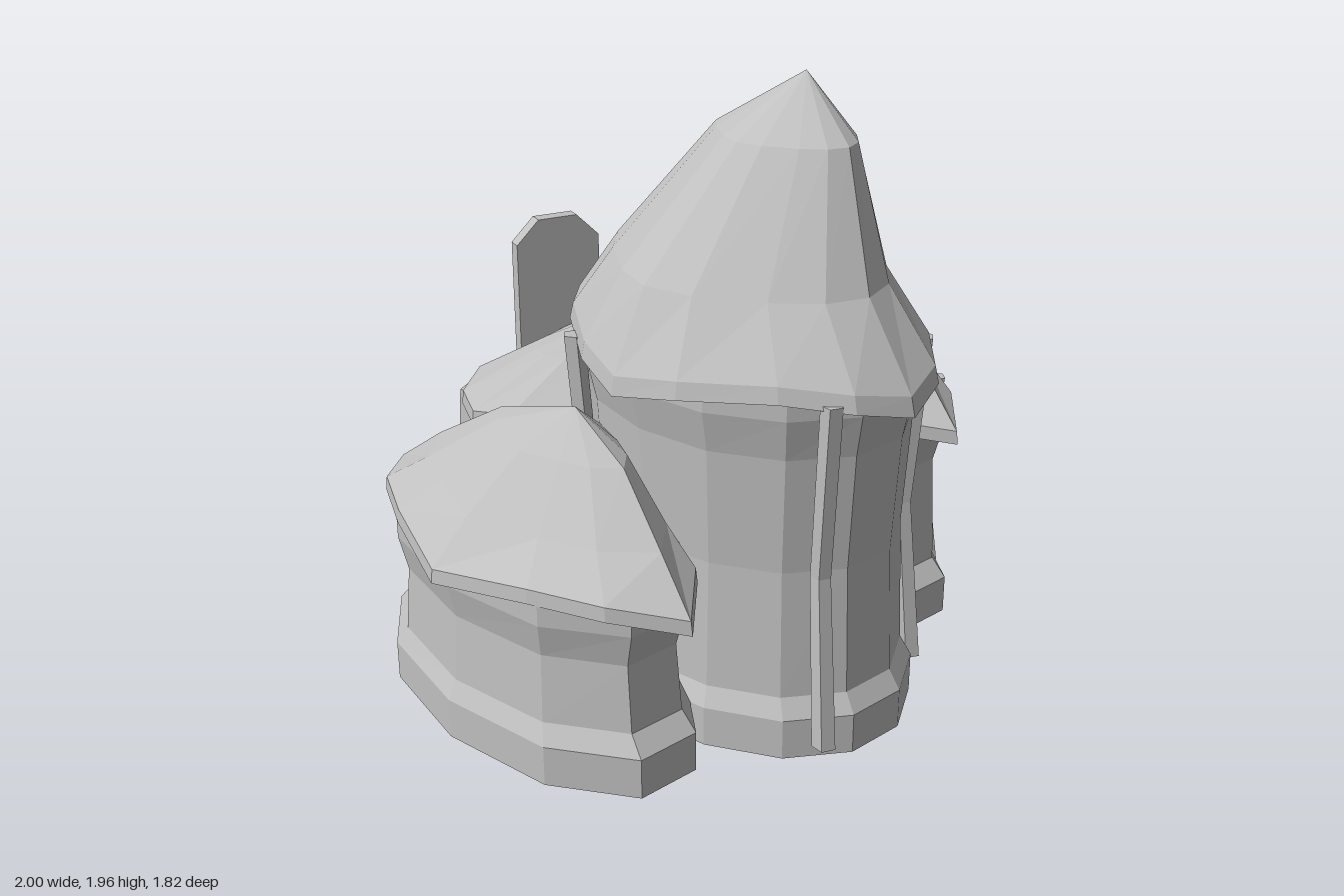
import * as THREE from 'three';

const stone = new THREE.MeshStandardMaterial({ color: 0xc0c0c0, flatShading: true, side: THREE.DoubleSide });
stone.name = 'pale grey';

function mesh(name, geometry) {
  const m = new THREE.Mesh(geometry, stone);
  m.name = name;
  return m;
}

function fromPositions(pos) {
  const g = new THREE.BufferGeometry();
  g.setAttribute('position', new THREE.Float32BufferAttribute(pos, 3));
  g.computeVertexNormals();
  return g;
}

// Skin over a stack of rings, each an array of [x, y, z]
function loft(rings) {
  const pos = [];
  for (let r = 0; r < rings.length - 1; r++) {
    const lo = rings[r], hi = rings[r + 1], n = lo.length;
    for (let i = 0; i < n; i++) {
      const j = (i + 1) % n;
      pos.push(...lo[i], ...lo[j], ...hi[j], ...lo[i], ...hi[j], ...hi[i]);
    }
  }
  return fromPositions(pos);
}

// Full outline mirrored from one quarter (from +z towards +x)
function outline(quarter) {
  const half = [...quarter, [1, 0], ...quarter.slice(1).reverse().map(([x, z]) => [x, -z])];
  return [...half, ...half.map(([x, z]) => [-x, -z])];
}

function polygon(n, phase) {
  return Array.from({ length: n }, (_, i) => {
    const a = (i + phase) / n * Math.PI * 2;
    return [Math.sin(a), Math.cos(a)];
  });
}

// Rows are [y, centre x, centre z, radius x, radius z, wave]; the wave lifts the diagonals
function stack(shape, rows) {
  return loft(rows.map(([y, cx, cz, rx, rz, wave = 0]) => shape.map(([x, z]) => {
    const lift = wave * Math.abs(Math.sin(2 * Math.atan2(x, z)));
    return [cx + x * rx, y + lift, cz + z * rz];
  })));
}

// Five-sided post with one flat face outwards, bent by offsets at its middle and foot
function post(name, x, z, y0, y1, mid, foot, r) {
  const [mx, mz] = mid, [fx, fz] = foot, h = (y0 + y1) / 2;
  const turn = Math.atan2(-mx, -mz) * 5 / (2 * Math.PI);
  return mesh(name, stack(polygon(5, 0.5 + turn), [
    [y0, x + fx, z + fz, 0, 0], [y0, x + fx, z + fz, r, r],
    [h, x + mx, z + mz, r * 0.85, r * 0.85],
    [y1, x, z, r * 0.9, r * 0.9], [y1, x, z, 0, 0],
  ]));
}

// Upright slab with a clipped, pointed head, open at the ground
function archSlab(name, w, h, shoulder, depth, x, z) {
  const s = new THREE.Shape();
  s.moveTo(-w / 2, 0);
  s.lineTo(w / 2, 0);
  s.lineTo(w / 2, shoulder);
  s.lineTo(w * 0.3, shoulder + (h - shoulder) * 0.65);
  s.lineTo(0, h);
  s.lineTo(-w * 0.3, shoulder + (h - shoulder) * 0.65);
  s.lineTo(-w / 2, shoulder);
  const g = new THREE.ExtrudeGeometry(s, { depth, bevelEnabled: false });
  g.translate(x, 0, z);
  const p = g.attributes.position.array, kept = [];
  for (let i = 0; i < p.length; i += 9) {
    if (Math.max(p[i + 1], p[i + 4], p[i + 7]) > 0.001) kept.push(...p.slice(i, i + 9));
  }
  return mesh(name, fromPositions(kept));
}

export function createModel() {
  const model = new THREE.Group();
  model.name = 'threeTowerHouse';

  // Main tower, hollow and open below
  model.add(mesh('mainWall', stack(polygon(14, 0.5), [
    [0, -0.01, 0.23, 0.455, 0.605], [0.13, -0.01, 0.23, 0.455, 0.605],
    [0.19, -0.01, 0.23, 0.425, 0.565], [0.6, -0.01, 0.23, 0.41, 0.547],
    [0.97, -0.01, 0.23, 0.43, 0.57], [1.1, -0.01, 0.23, 0.46, 0.595],
    [1.17, -0.01, 0.23, 0.46, 0.595],
  ])));
  const mainOutline = outline([[0, 1], [0.32, 0.91], [0.6, 0.68], [0.89, 0.31]]);
  model.add(mesh('mainRoof', stack(mainOutline, [
    [1.16, -0.01, 0.23, 0.42, 0.54], [1.1, -0.01, 0.23, 0.53, 0.68, 0.06],
    [1.16, -0.01, 0.23, 0.52, 0.665, 0.05], [1.4, 0, 0.22, 0.405, 0.495],
    [1.78, 0.085, 0.285, 0.195, 0.255], [1.955, 0.14, 0.31, 0, 0],
  ])));

  // Two side towers share one design at different heights
  const sideOutline = outline([[0, 1], [0.46, 0.765], [0.73, 0.455]]);
  for (const [side, x, z, eave] of [['right', -0.627, -0.055, 0.545], ['left', 0.627, -0.175, 0.7]]) {
    model.add(mesh(side + 'Wall', stack(polygon(10, 0.5), [
      [0, x, z, 0.34, 0.66], [0.13, x, z, 0.34, 0.66],
      [0.19, x, z, 0.31, 0.605], [eave - 0.14, x, z, 0.295, 0.585],
      [eave - 0.03, x, z, 0.32, 0.615], [eave + 0.05, x, z, 0.32, 0.615],
    ])));
    model.add(mesh(side + 'Roof', stack(sideOutline, [
      [eave + 0.045, x, z, 0.29, 0.56], [eave, x, z, 0.373, 0.732, 0.04],
      [eave + 0.045, x, z, 0.368, 0.725, 0.04], [eave + 0.18, x + 0.035, z + 0.01, 0.28, 0.55],
      [eave + 0.35, x + 0.08, z + 0.045, 0.15, 0.3], [eave + 0.455, x + 0.105, z + 0.09, 0, 0],
    ])));
    // Two posts on the +x flank of each side tower
    for (const dz of [0.405, -0.385]) {
      model.add(post(side + 'Post', x + 0.268, z + dz, 0.06, eave + 0.065,
        [-0.03, dz > 0 ? -0.025 : 0.02], [0.005, 0], 0.037));
    }
  }

  // Rear porch canopy
  const porch = outline([[0, 1], [0.53, 0.79], [0.88, 0.4]]);
  model.add(mesh('porchRoof', stack(porch, [
    [0.86, 0.03, -0.57, 0, 0], [0.73, -0.025, -0.57, 0.46, 0.342, 0.02],
    [0.775, -0.025, -0.57, 0.455, 0.337, 0.02], [0.9, 0.05, -0.55, 0.25, 0.18],
    [1.0, 0.15, -0.53, 0, 0],
  ])));
  for (const s of [-1, 1]) {
    model.add(post('porchPost', s * 0.36, -0.74, 0.03, 0.77, [s * 0.025, -0.012], [s * 0.035, -0.045], 0.05));
  }

  // Posts against the main tower
  for (const [x, z] of [[-0.215, 0.79], [0.365, 0.61], [0.375, -0.13], [-0.41, -0.11], [0.24, -0.28]]) {
    const k = -0.04 / Math.hypot(x, z - 0.23);
    model.add(post('mainPost', x, z, 0.06, 1.16, [x * k, (z - 0.23) * k], [0, 0.01], 0.038));
  }

  // Door slabs at the rear
  model.add(archSlab('mainDoor', 0.34, 0.62, 0.46, 0.2, 0, -0.44));
  model.add(archSlab('leftDoor', 0.28, 0.43, 0.28, 0.12, 0.63, -0.805));

  // Sign with a raised cross standing on the porch canopy
  const sign = new THREE.Group();
  sign.name = 'sign';
  sign.position.set(0.012, 0, -0.748);
  sign.rotation.y = -0.26;
  const s = new THREE.Shape();
  [[-0.15, 0.8], [0.15, 0.8], [0.15, 1.22], [0.07, 1.3], [-0.07, 1.3], [-0.15, 1.22]]
    .forEach(([x, y], i) => (i ? s.lineTo(x, y) : s.moveTo(x, y)));
  const board = new THREE.ExtrudeGeometry(s, { depth: 0.05, bevelEnabled: false });
  board.translate(0, 0, -0.025);
  sign.add(mesh('signBoard', board));
  const c = new THREE.Shape();
  const a = 0.04, w = 0.115, h = 0.145;
  [[-a, -h], [a, -h], [a, -a], [w, -a], [w, a], [a, a], [a, h], [-a, h], [-a, a], [-w, a], [-w, -a], [-a, -a]]
    .forEach(([x, y], i) => (i ? c.lineTo(x, y) : c.moveTo(x, y)));
  const cross = new THREE.ExtrudeGeometry(c, { depth: 0.06, bevelEnabled: false });
  cross.translate(0, 1.06, -0.082);
  sign.add(mesh('signCross', cross));
  model.add(sign);

  return model;
}
